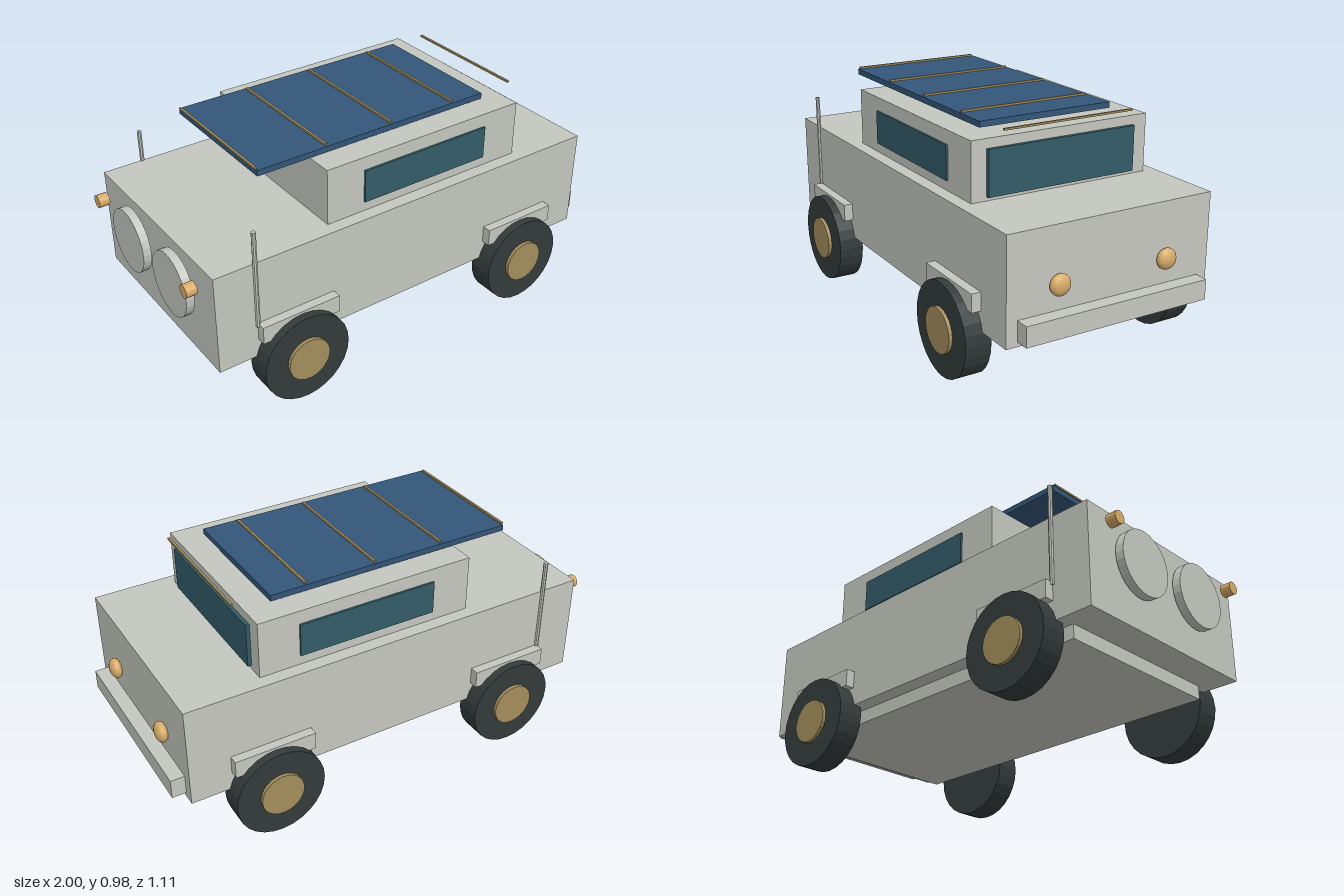
import * as THREE from 'three';

const mat = (name, color) => {
  const m = new THREE.MeshStandardMaterial({ color, flatShading: true });
  m.name = name;
  return m;
};

export function createModel() {
  const paint = mat('pale grey paint', 0xc4c7bf);
  const glass = mat('teal glass', 0x335c69);
  const rubber = mat('dark rubber', 0x343b3b);
  const brass = mat('brass trim', 0xa38d5c);
  const amber = mat('amber lamp', 0xd8ac6a);
  const solar = mat('blue panel', 0x335679);

  const model = new THREE.Group();
  model.name = 'offRoadCar';

  const add = (name, geometry, material, x, y, z) => {
    const mesh = new THREE.Mesh(geometry, material);
    mesh.name = name;
    mesh.position.set(x, y, z);
    model.add(mesh);
    return mesh;
  };
  // Box given by its limits on each axis
  const box = (name, material, [x0, x1], [y0, y1], [z0, z1]) =>
    add(name, new THREE.BoxGeometry(x1 - x0, y1 - y0, z1 - z0), material,
      (x0 + x1) / 2, (y0 + y1) / 2, (z0 + z1) / 2);
  // Cylinders lying along z and along x
  const discZ = (r, depth, n) => new THREE.CylinderGeometry(r, r, depth, n).rotateX(Math.PI / 2);
  const discX = (r, depth, n) => new THREE.CylinderGeometry(r, r, depth, n).rotateZ(Math.PI / 2);

  // Body, chassis, cabin and front bumper
  box('body', paint, [-0.92, 0.94], [0.245, 0.687], [-0.465, 0.465]);
  box('chassis', paint, [-0.78, 0.8], [0.186, 0.26], [-0.397, 0.397]);
  box('cabin', paint, [-0.375, 0.595], [0.68, 0.932], [-0.408, 0.408]);
  box('bumper', paint, [0.935, 1], [0.265, 0.35], [-0.417, 0.417]);
  box('windshield', glass, [0.59, 0.611], [0.703, 0.893], [-0.34, 0.34]);

  // Roof panel with cross strips, the last one overhanging the front
  box('roofPanel', solar, [-0.622, 0.485], [0.943, 0.968], [-0.307, 0.307]);
  for (let i = 0; i < 5; i++) {
    const x = -0.622 + i * 0.3167;
    box('panelStrip', brass, [x - 0.005, x + 0.005], [0.968, 0.976], [-0.297, 0.297]);
  }

  for (const s of [-1, 1]) {
    const side = s > 0 ? 'left' : 'right';

    box(side + 'SideWindow', glass, [-0.2, 0.418], [0.73, 0.874],
      s > 0 ? [0.4, 0.417] : [-0.417, -0.4]);

    // Wheels, hubs and fenders
    for (const x of [-0.565, 0.585]) {
      add(side + 'Wheel', discZ(0.197, 0.11, 28), rubber, x, 0.198, s * 0.485);
      add(side + 'Hub', discZ(0.095, 0.03, 24), brass, x, 0.198, s * 0.54);
      box(side + 'Fender', paint, [x - 0.178, x + 0.178], [0.328, 0.405],
        s > 0 ? [0.42, 0.505] : [-0.505, -0.42]);
    }

    // Flattened round headlights
    const lamp = add(side + 'Headlight', new THREE.SphereGeometry(0.044, 20, 14), amber,
      0.957, 0.458, s * 0.246);
    lamp.scale.x = 0.6;

    // Rear lamps, rear discs and aerials
    add(side + 'RearLamp', discX(0.028, 0.046, 14), amber, -0.977, 0.615, s * 0.377);
    add(side + 'RearDisc', discX(0.14, 0.036, 28), paint, -0.947, 0.515, s * 0.18);
    add(side + 'Aerial', new THREE.CylinderGeometry(0.01, 0.01, 0.436, 8), paint,
      -0.742, 0.61, s * 0.466);
  }
  return model;
}
